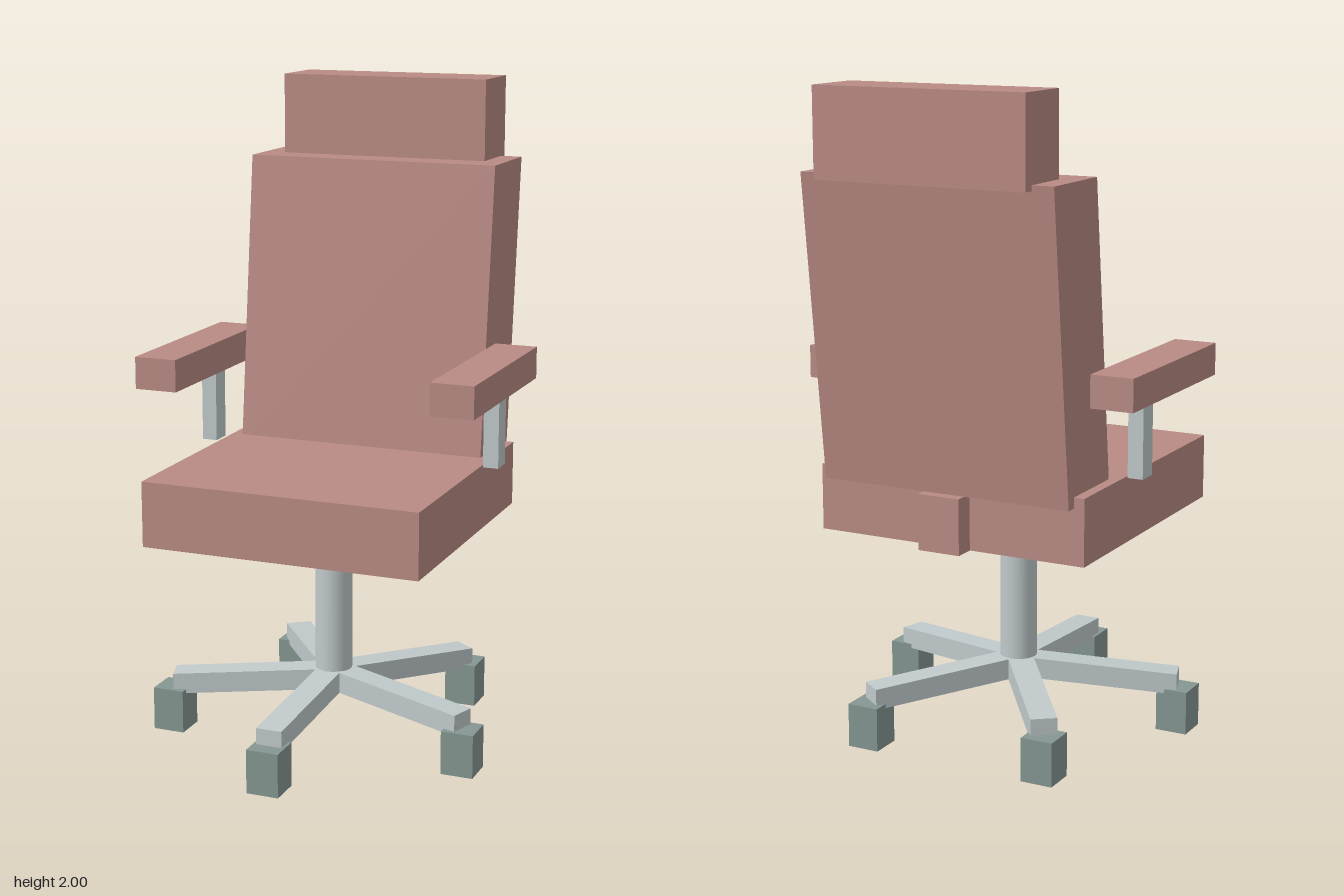
import * as THREE from 'three';

const mat = (name, color) => {
  const m = new THREE.MeshStandardMaterial({ color });
  m.name = name;
  return m;
};

// box given by its min and max on each axis
const boxGeo = ([x0, x1], [y0, y1], [z0, z1]) =>
  new THREE.BoxGeometry(x1 - x0, y1 - y0, z1 - z0)
    .translate((x0 + x1) / 2, (y0 + y1) / 2, (z0 + z1) / 2);

// shear: z shifts with y, or y shifts with z
const shear = (geo, zPerY, yPerZ) => {
  geo.applyMatrix4(new THREE.Matrix4().set(
    1, 0, 0, 0,
    0, 1, yPerZ, 0,
    0, zPerY, 1, 0,
    0, 0, 0, 1));
  geo.deleteAttribute('normal');
  const flat = geo.toNonIndexed();
  flat.computeVertexNormals();
  return flat;
};

export function createModel() {
  const chair = new THREE.Group();
  chair.name = 'officeChair';
  const fabric = mat('dusty red upholstery', 0xb98a84);
  const metal = mat('pale grey metal', 0xc0c9cb);
  const rubber = mat('grey green caster', 0x859692);
  const add = (name, geo, material, parent = chair) => {
    const mesh = new THREE.Mesh(geo, material);
    mesh.name = name;
    parent.add(mesh);
    return mesh;
  };

  // upholstery
  add('seat', boxGeo([-0.433, 0.433], [0.67, 0.87], [-0.408, 0.458]), fabric);
  add('backBracket', boxGeo([-0.067, 0.067], [0.67, 0.838], [-0.473, -0.4]), fabric);
  const back = boxGeo([-0.4, 0.4], [0, 0.915], [-0.44, -0.175]);
  add('backrest', shear(back, -0.109, 0).translate(0, 0.838, 0), fabric);
  add('headrest', boxGeo([-0.333, 0.333], [1.737, 2], [-0.575, -0.377]), fabric);

  // armrests with their posts
  for (const side of [1, -1]) {
    const label = side > 0 ? 'left' : 'right';
    const arm = new THREE.Group();
    arm.name = label + 'Armrest';
    add(label + 'ArmPad', boxGeo([-0.0665, 0.0665], [1.105, 1.203], [-0.308, 0.29]), fabric, arm);
    add(label + 'ArmPost', boxGeo([-0.024, 0.024], [0.87, 1.105], [-0.141, -0.075]), metal, arm);
    arm.position.x = side * 0.4665;
    chair.add(arm);
  }

  // column and five-legged base
  const base = new THREE.Group();
  base.name = 'base';
  base.position.z = 0.026;
  chair.add(base);
  add('column', new THREE.CylinderGeometry(0.057, 0.057, 0.48, 32).translate(0, 0.435, 0), metal, base);
  const radius = 0.5;
  const legGeo = shear(boxGeo([-0.04, 0.04], [0.15, 0.215], [0, radius]), 0, -0.06);
  const casterGeo = boxGeo([-0.05, 0.05], [0, 0.135], [-0.05, 0.05]);
  for (let i = 0; i < 5; i++) {
    const a = (i * Math.PI * 2) / 5;
    add('leg' + (i + 1), legGeo, metal, base).rotation.y = a;
    add('caster' + (i + 1), casterGeo, rubber, base)
      .position.set(Math.sin(a) * radius, 0, Math.cos(a) * radius);
  }
  return chair;
}
